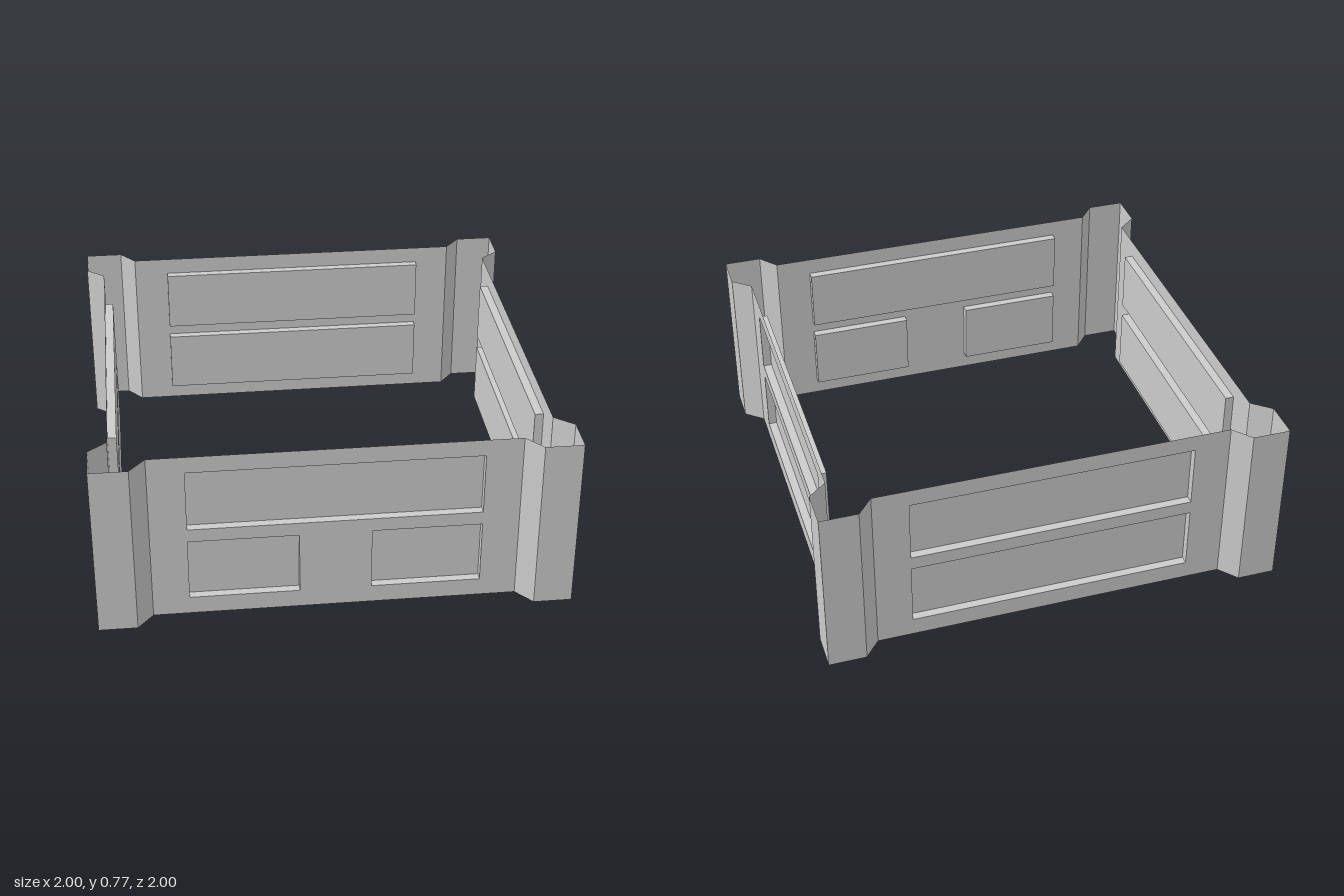
import * as THREE from 'three';

const HEIGHT = 0.77;
const WALL = 0.92;       // distance of the wall sheets from the centre
const DEPTH = 0.037;     // depth of the recessed panels
const HALF = 0.77;       // half width of a wall between the corner posts
const BEVEL = 0.837;     // where the post bevel meets its flat face
const ROWS = { lower: [0.08, 0.36], upper: [0.42, 0.695] };

const material = new THREE.MeshStandardMaterial({
  color: 0xcccccc, flatShading: true, side: THREE.DoubleSide,
});

function mesh(geometry, name) {
  const m = new THREE.Mesh(geometry, material);
  m.name = name;
  return m;
}

// Open tray facing +z: an inside-out box without its front face
function recess([x0, x1, y0, y1]) {
  const g = new THREE.BoxGeometry(x1 - x0, y1 - y0, DEPTH);
  g.setIndex(Array.from(g.index.array).slice(0, 30));
  g.clearGroups();
  g.scale(1, 1, -1);
  g.computeVertexNormals();
  g.translate((x0 + x1) / 2, (y0 + y1) / 2, WALL - DEPTH / 2);
  return mesh(g, 'recessedPanel');
}

// Flat wall sheet with a hole and a tray for every panel
function wall(name, panels) {
  const group = new THREE.Group();
  group.name = name;
  const shape = new THREE.Shape([
    new THREE.Vector2(-HALF, 0), new THREE.Vector2(HALF, 0),
    new THREE.Vector2(HALF, HEIGHT), new THREE.Vector2(-HALF, HEIGHT),
  ]);
  for (const [x0, x1, y0, y1] of panels) {
    shape.holes.push(new THREE.Path([
      new THREE.Vector2(x0, y0), new THREE.Vector2(x0, y1),
      new THREE.Vector2(x1, y1), new THREE.Vector2(x1, y0),
    ]));
  }
  const sheet = mesh(new THREE.ShapeGeometry(shape), 'wallSheet');
  sheet.position.z = WALL;
  group.add(sheet, ...panels.map(recess));
  return group;
}

// Corner post: a vertical strip folded around the corner
function cornerPost() {
  const profile = [[HALF, WALL], [BEVEL, 1], [1, 1], [1, BEVEL], [WALL, HALF]];
  const g = new THREE.PlaneGeometry(1, HEIGHT, profile.length - 1, 1);
  const pos = g.attributes.position;
  for (let i = 0; i < pos.count; i++) {
    const [x, z] = profile[i % profile.length];
    pos.setXYZ(i, x, pos.getY(i) + HEIGHT / 2, z);
  }
  const folded = g.toNonIndexed();
  folded.computeVertexNormals();
  return mesh(folded, 'cornerPost');
}

export function createModel() {
  const model = new THREE.Group();
  model.name = 'squareEnclosure';

  const upper = [-0.615, 0.615, ...ROWS.upper];
  const plain = [upper, [-0.615, 0.615, ...ROWS.lower]];
  const split = [upper, [-0.615, -0.152, ...ROWS.lower], [0.152, 0.615, ...ROWS.lower]];

  // Four walls, each with the post at its +x end, turned around the centre
  ['frontWall', 'leftWall', 'backWall', 'rightWall'].forEach((name, i) => {
    const side = new THREE.Group();
    side.name = name + 'Side';
    side.add(wall(name, i === 0 ? split : plain), cornerPost());
    side.rotation.y = i * Math.PI / 2;
    model.add(side);
  });
  return model;
}
